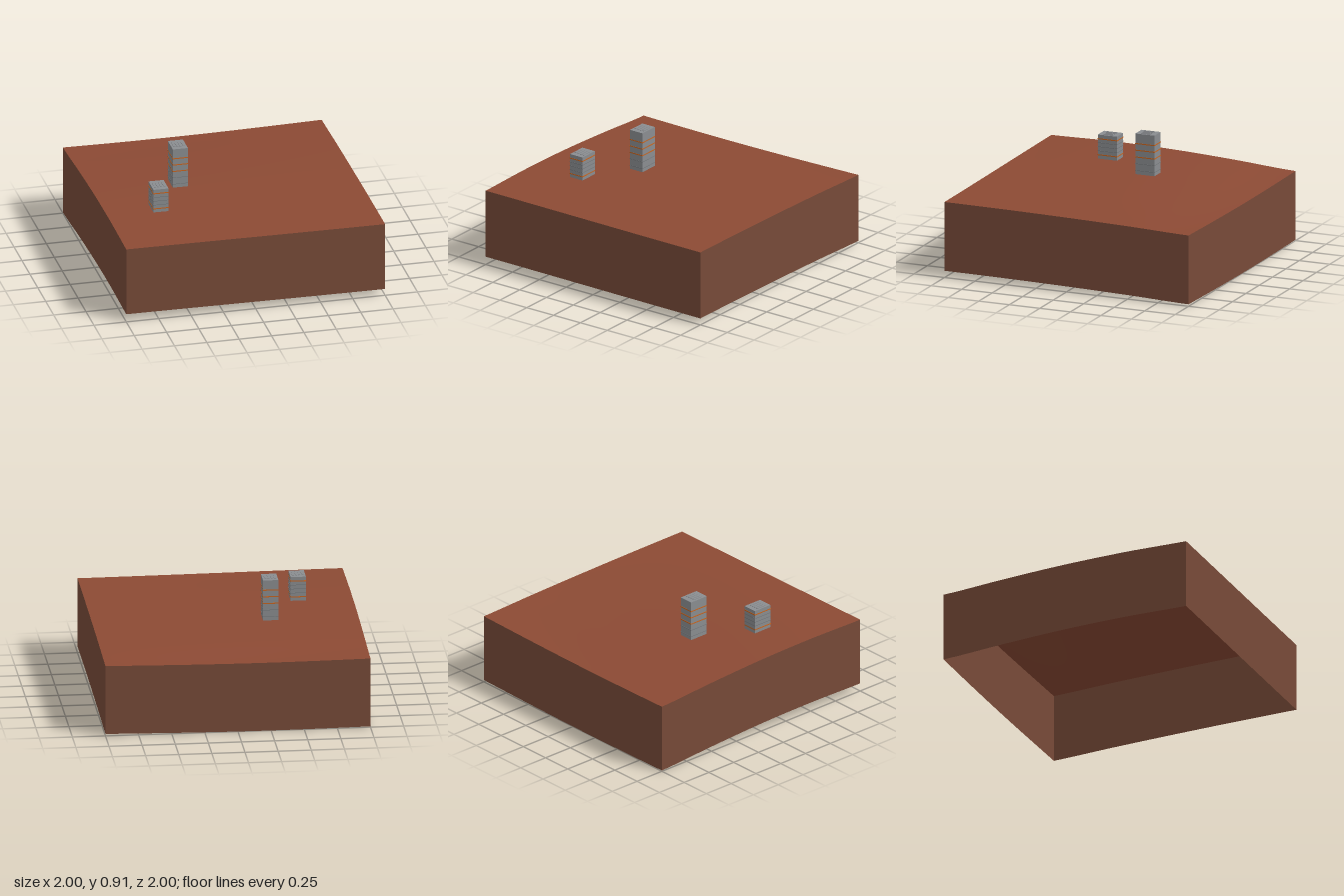
import * as THREE from 'three';

const mat = (name, color, side = THREE.FrontSide) => {
  const m = new THREE.MeshStandardMaterial({ color, side });
  m.name = name;
  return m;
};

// Smooth 1D profile through evenly spaced heights from -1 to 1
const profile = (heights) => {
  const curve = new THREE.SplineCurve(heights.map((h, i) => new THREE.Vector2(i, h)));
  return (t) => curve.getPoint((t + 1) / 2).y;
};
const leftEdge = profile([0.548, 0.58, 0.604, 0.612, 0.605]);
const rightEdge = profile([0.557, 0.573, 0.584, 0.591, 0.594]);

// Ground height: blend of the two side profiles with a shallow dip at the back
function ground(x, z) {
  const k = THREE.MathUtils.smoothstep(x, -1.5, 1.2);
  const k0 = THREE.MathUtils.smoothstep(-1, -1.5, 1.2);
  const k1 = THREE.MathUtils.smoothstep(1, -1.5, 1.2);
  const h = THREE.MathUtils.lerp(leftEdge(z), rightEdge(z), (k - k0) / (k1 - k0));
  const back = Math.max(0, -z);
  return h - 0.011 * back * back * Math.cos((x * Math.PI) / 2);
}

const DEPTH = 0.536;
const STEPS = 32;

function terrainGeometry() {
  const g = new THREE.PlaneGeometry(2, 2, STEPS, STEPS).rotateX(-Math.PI / 2);
  const p = g.attributes.position;
  for (let i = 0; i < p.count; i++) p.setY(i, ground(p.getX(i), p.getZ(i)));
  g.computeVertexNormals();
  return g;
}

// Wall that follows the ground edge, with a lower rim at constant depth
function wallGeometry(turn) {
  const g = new THREE.PlaneGeometry(2, 1, STEPS, 1).translate(0, 0, 1).rotateY(turn);
  const p = g.attributes.position;
  for (let i = 0; i < p.count; i++) {
    const top = p.getY(i) > 0;
    p.setY(i, ground(p.getX(i), p.getZ(i)) - (top ? 0 : DEPTH));
  }
  return g;
}

function createTower(name, { x, z, base, top, bands }, mats) {
  const W = 0.116, D = 0.157;
  const tower = new THREE.Group();
  tower.name = name;
  tower.position.set(x, 0, z);
  const box = (part, w, h, d, px, py, pz, m) => {
    const mesh = new THREE.Mesh(new THREE.BoxGeometry(w, h, d), m);
    mesh.name = part;
    mesh.position.set(px, py, pz);
    tower.add(mesh);
  };
  const bodyTop = top - 0.004;
  box('towerBody', W, bodyTop - base, D, 0, (bodyTop + base) / 2, 0, mats.concrete);

  // Floor bands wrapped around the body
  for (const [y, lit] of bands) {
    box(lit ? 'lightBand' : 'floorBand', W + 0.003, lit ? 0.008 : 0.004, D + 0.003,
      0, y, 0, lit ? mats.orange : mats.seam);
  }
  // Low roof vents
  for (let i = 0; i < 4; i++) {
    box('roofVent', 0.013, 0.004, 0.08, (i - 1.5) * 0.024, top - 0.002, 0, mats.concrete);
  }
  return tower;
}

export function createModel() {
  const model = new THREE.Group();
  model.name = 'terrainBlock';
  const mats = {
    soil: mat('redSoil', 0x8c4a34, THREE.DoubleSide),
    earth: mat('brownEarth', 0x774a38, THREE.DoubleSide),
    concrete: mat('greyConcrete', 0x8a8d90),
    seam: mat('darkGreySeam', 0x74777a),
    orange: mat('orangeLight', 0xc8641e),
  };

  const terrain = new THREE.Mesh(terrainGeometry(), mats.soil);
  terrain.name = 'terrainSurface';
  model.add(terrain);

  ['frontWall', 'leftWall', 'backWall', 'rightWall'].forEach((name, i) => {
    const wall = new THREE.Mesh(wallGeometry((i * Math.PI) / 2), mats.earth);
    wall.name = name;
    model.add(wall);
  });

  model.add(createTower('tallTower', {
    x: -0.336, z: -0.082, base: 0.597, top: 0.917,
    bands: [[0.626, 0], [0.679, 0], [0.731, 1], [0.784, 1], [0.836, 1]],
  }, mats));
  model.add(createTower('shortTower', {
    x: -0.588, z: 0.335, base: 0.607, top: 0.798,
    bands: [[0.637, 1], [0.668, 0], [0.7, 0], [0.731, 0], [0.762, 1]],
  }, mats));
  return model;
}
